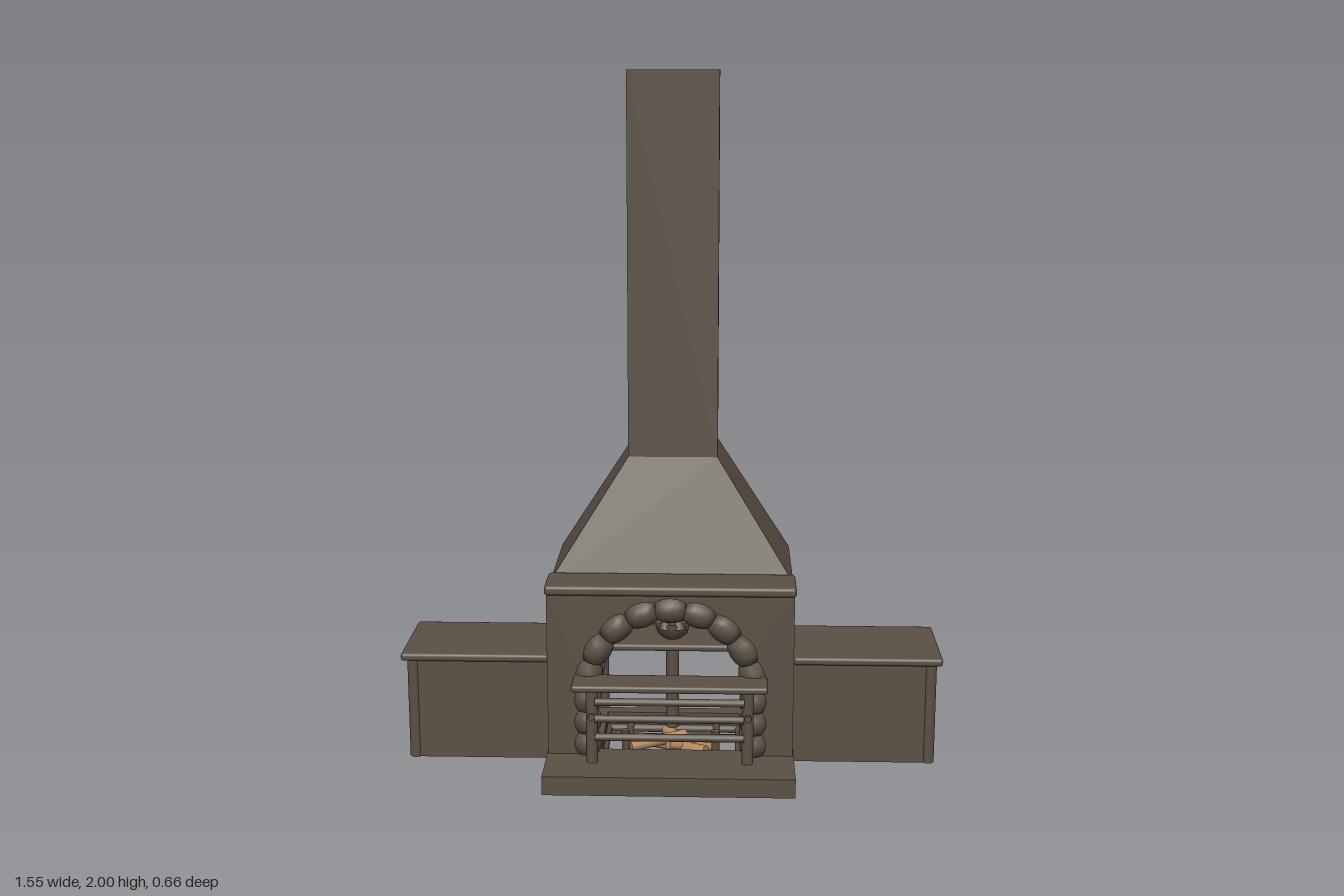
import * as THREE from 'three';
import { RoundedBoxGeometry } from 'three/addons/geometries/RoundedBoxGeometry.js';

export function createModel() {
  const model = new THREE.Group();
  model.name = 'outdoorFireplace';
  const stone = new THREE.MeshStandardMaterial({ color: 0x5b5044, side: THREE.DoubleSide });
  stone.name = 'dark brown stone';
  const wood = new THREE.MeshStandardMaterial({ color: 0xb58a5e });
  wood.name = 'tan log wood';

  const add = (name, geo, mat = stone, parent = model) => {
    const m = new THREE.Mesh(geo, mat);
    m.name = name;
    parent.add(m);
    return m;
  };
  // Box given by its min and max corners; r rounds the edges
  const box = (name, x0, x1, y0, y1, z0, z1, r = 0, parent = model) => {
    const s = [x1 - x0, y1 - y0, z1 - z0];
    const g = r ? new RoundedBoxGeometry(...s, 3, r) : new THREE.BoxGeometry(...s);
    g.translate((x0 + x1) / 2, (y0 + y1) / 2, (z0 + z1) / 2);
    return add(name, g, stone, parent);
  };
  // Round bar between two points
  const rod = (name, a, b, r, mat = stone, parent = model, sides = 14) => {
    const p = new THREE.Vector3(...a), q = new THREE.Vector3(...b);
    const m = add(name, new THREE.CylinderGeometry(r, r, p.distanceTo(q), sides), mat, parent);
    m.position.copy(p).add(q).multiplyScalar(0.5);
    m.quaternion.setFromUnitVectors(new THREE.Vector3(0, 1, 0), q.sub(p).normalize());
    return m;
  };
  const rect = (T, x0, x1, y0, y1) => {
    const s = new T();
    s.moveTo(x0, y0).lineTo(x1, y0).lineTo(x1, y1).lineTo(x0, y1).closePath();
    return s;
  };
  // Horizontal frame: a plan rectangle with a rectangular hole, raised from y0 to y1
  const frame = (name, outer, hole, y0, y1) => {
    const plan = ([x0, x1, z0, z1], T) => rect(T, x0, x1, -z1, -z0);
    const s = plan(outer, THREE.Shape);
    s.holes.push(plan(hole, THREE.Path));
    const g = new THREE.ExtrudeGeometry(s, { depth: y1 - y0, bevelEnabled: false });
    g.rotateX(-Math.PI / 2).translate(0, y0, 0);
    return add(name, g);
  };

  // Chimney shaft with recessed top
  frame('chimneyShaft', [-0.13, 0.13, -0.33, -0.075], [-0.09, 0.09, -0.29, -0.125], 0.9, 2);
  box('chimneyCap', -0.09, 0.09, 1.96, 1.975, -0.29, -0.125);

  // Hood: sloping U-shaped skirt, open at the back
  const section = (w, y, zf) => [[-w, y, -0.33], [-w, y, zf], [w, y, zf], [w, y, -0.33]];
  const low = section(0.35, 0.56, 0.05), high = section(0.13, 0.9, -0.075);
  const hood = [];
  for (let i = 0; i < 3; i++) {
    hood.push(low[i], low[i + 1], high[i + 1], low[i], high[i + 1], high[i]);
  }
  const hoodGeo = new THREE.BufferGeometry();
  hoodGeo.setAttribute('position', new THREE.Float32BufferAttribute(hood.flat(), 3));
  hoodGeo.computeVertexNormals();
  add('hood', hoodGeo);

  // Front wall with arched opening
  const wall = rect(THREE.Shape, -0.35, 0.35, 0.07, 0.565);
  const arch = new THREE.Path();
  arch.moveTo(-0.24, 0.075).lineTo(0.24, 0.075).lineTo(0.24, 0.275);
  arch.absarc(0, 0.275, 0.24, 0, Math.PI, false);
  arch.closePath();
  wall.holes.push(arch);
  const wallGeo = new THREE.ExtrudeGeometry(wall, { depth: 0.02, bevelEnabled: false, curveSegments: 24 });
  add('frontWall', wallGeo.translate(0, 0, 0.148));

  // Mantel and hearth slab
  box('mantel', -0.355, 0.355, 0.557, 0.585, 0.042, 0.183, 0.01);
  frame('hearthSlab', [-0.353, 0.353, -0.19, 0.33], [-0.2, 0.2, -0.15, 0.13], 0.025, 0.08);

  // Barrel-shaped stones around the arch
  const stones = new THREE.Group();
  stones.name = 'archStones';
  model.add(stones);
  const barrel = (len) => new THREE.LatheGeometry(
    [[0, -0.5], [0.031, -0.5], [0.039, -0.25], [0.042, 0], [0.039, 0.25], [0.031, 0.5], [0, 0.5]]
      .map(([r, t]) => new THREE.Vector2(r, t * len)), 14);
  const count = 9, R = 0.238;
  for (let i = 0; i < count; i++) {
    const a = ((i + 0.5) / count) * Math.PI;
    const m = add('archStone', barrel(0.086), stone, stones);
    m.position.set(R * Math.cos(a), 0.275 + R * Math.sin(a), 0.148);
    m.rotation.z = a;
  }

  for (const s of [-1, 1]) {
    const side = new THREE.Group();
    side.name = s > 0 ? 'leftSide' : 'rightSide';
    model.add(side);
    const sbox = (name, x0, x1, ...rest) =>
      box(name, Math.min(s * x0, s * x1), Math.max(s * x0, s * x1), ...rest, side);

    // Side wall and jamb stones
    sbox('sideWall', 0.34, 0.35, 0.025, 0.56, -0.33, 0.165, 0);
    sbox('sideSkirt', 0.338, 0.353, 0.025, 0.08, -0.33, -0.19, 0);
    for (let i = 0; i < 3; i++) {
      add('jambStone', barrel(0.066), stone, side).position.set(s * R, 0.111 + i * 0.066, 0.148);
    }

    // Side table, open at the back and below
    sbox('tableTop', 0.35, 0.775, 0.342, 0.365, -0.155, 0.137, 0.009);
    sbox('tableFront', 0.35, 0.745, 0.045, 0.343, 0.108, 0.12, 0);
    sbox('tableEnd', 0.738, 0.75, 0.05, 0.343, -0.125, 0.108, 0);
    for (const z of [0.108, -0.125]) {
      rod('tablePost', [s * 0.742, 0.045, z], [s * 0.742, 0.343, z], 0.018, stone, side);
    }

    // Fire rack posts, side rails and fire dogs
    for (const z of [0.217, -0.25]) {
      const top = z > 0 ? 0.305 : 0.34;
      rod('rackPost', [s * 0.22, 0.022, z], [s * 0.22, top, z], 0.017, stone, side);
    }
    rod('rackSideRail', [s * 0.22, 0.22, -0.25], [s * 0.22, 0.22, 0.24], 0.01, stone, side);
    rod('grateSideBar', [s * 0.2, 0.03, -0.15], [s * 0.2, 0.03, 0.15], 0.013, stone, side);
    rod('grateInnerBar', [s * 0.13, 0.04, -0.15], [s * 0.13, 0.04, 0.14], 0.01, stone, side);
    rod('fireDog', [s * 0.13, 0.04, 0.12], [s * 0.13, 0.135, 0.12], 0.012, stone, side);
  }

  // Rack shelves and front bars
  box('frontShelf', -0.275, 0.275, 0.302, 0.322, 0.165, 0.267, 0.008);
  box('backShelf', -0.265, 0.265, 0.338, 0.358, -0.3, 0.02, 0.008);
  for (const y of [0.265, 0.215, 0.16]) {
    rod('frontBar', [-0.21, y, 0.235], [0.21, y, 0.235], 0.011);
  }
  rod('backBar', [-0.22, 0.28, -0.25], [0.22, 0.28, -0.25], 0.011);
  for (const z of [0.14, 0.08, -0.08, -0.15]) {
    rod('grateCrossBar', [-0.2, 0.03, z], [0.2, 0.03, z], 0.012);
  }

  // Centre flue pipe with pointed crown
  rod('centrePipe', [0, 0.08, -0.05], [0, 0.345, -0.05], 0.02);
  add('crownCup', new THREE.LatheGeometry([[0.02, 0.357], [0.045, 0.375], [0.053, 0.405], [0.047, 0.41], [0, 0.39]]
    .map(([x, y]) => new THREE.Vector2(x, y)), 18)).position.z = -0.05;
  for (let i = 0; i < 6; i++) {
    const a = (i / 6) * Math.PI * 2;
    add('crownPoint', new THREE.ConeGeometry(0.02, 0.045, 8))
      .position.set(0.04 * Math.cos(a), 0.42, -0.05 + 0.04 * Math.sin(a));
  }

  // Logs lying in the grate
  rod('log', [-0.1, 0.035, -0.06], [0.1, 0.045, 0.06], 0.018, wood, model, 8);
  rod('log', [0.13, 0.012, -0.05], [-0.01, 0.06, 0.05], 0.013, wood, model, 8);
  rod('log', [-0.02, 0.05, -0.09], [0.06, 0.04, 0.02], 0.017, wood, model, 8);
  rod('log', [-0.12, 0.055, 0.05], [0.04, 0.065, -0.02], 0.016, wood, model, 8);

  return model;
}
